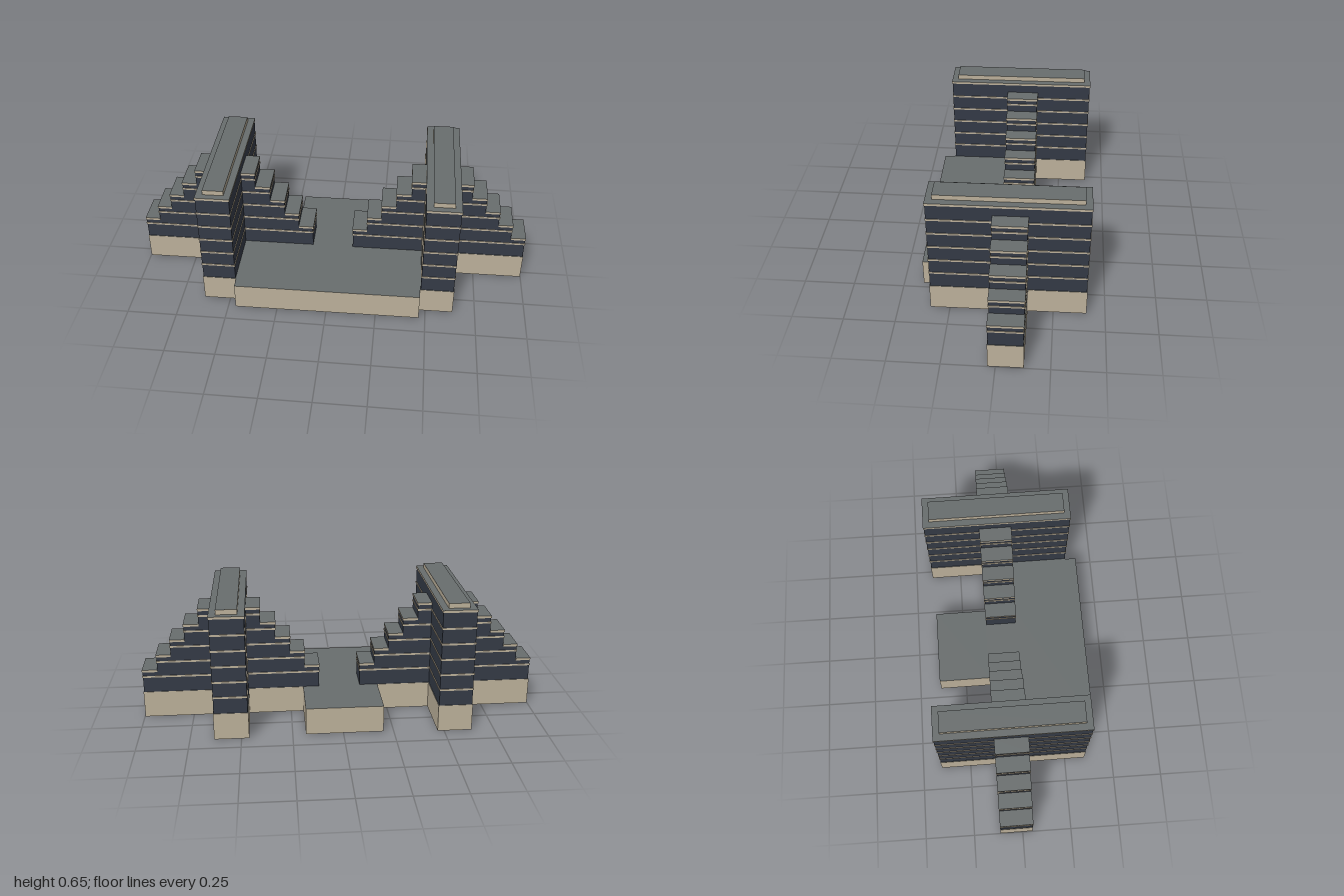
import * as THREE from 'three';

const stone = new THREE.MeshStandardMaterial({ color: 0xbdb19b });
stone.name = 'beige stone';
const glass = new THREE.MeshStandardMaterial({ color: 0x343a46 });
glass.name = 'dark glazing';
const roof = new THREE.MeshStandardMaterial({ color: 0x686d6d });
roof.name = 'grey roofing';

// box faces run +x, -x, +y, -y, +z, -z: stone walls under a grey roof
const roofed = [stone, stone, roof, stone, stone, stone];

// Box given by its limits on each axis
function block(parent, name, [x0, x1], [y0, y1], [z0, z1], material) {
  const mesh = new THREE.Mesh(new THREE.BoxGeometry(x1 - x0, y1 - y0, z1 - z0), material);
  mesh.position.set((x0 + x1) / 2, (y0 + y1) / 2, (z0 + z1) / 2);
  mesh.name = name;
  parent.add(mesh);
}

const BASE = 0.137;        // podium height
const STOREY = 0.0795;     // spacing of floor bands and terraces
const LIP = 0.003;         // overhang of bands and caps
const TOWER = 0.085;       // half width of a tower
const TOWER_Z = [-0.4055, 0.3485];
const WING_Z = [-0.122, 0.043];
const TIERS = [0.448, 0.374, 0.302, 0.229, 0.155]; // half widths of the terraces

const inset = ([a, b], d) => [a + d, b - d];
const bandY = (i) => [0.215 + i * STOREY, 0.224 + i * STOREY];
const capY = (i) => [0.2445 + i * STOREY, 0.2565 + i * STOREY];

function createBuilding(side) {
  const g = new THREE.Group();
  g.name = side > 0 ? 'leftBuilding' : 'rightBuilding';
  g.position.x = 0.55 * side;

  // Tower slab with floor bands, roof cap and penthouse
  const w = [-TOWER, TOWER];
  block(g, 'towerBase', w, [0, BASE], TOWER_Z, roofed);
  block(g, 'towerWalls', inset(w, LIP), [BASE, 0.62], inset(TOWER_Z, LIP), glass);
  for (let i = 0; i < 5; i++) block(g, 'towerFloorBand', w, bandY(i), TOWER_Z, stone);
  block(g, 'towerRoofCap', w, [0.618, 0.63], TOWER_Z, roofed);
  block(g, 'penthouse', [-0.051, 0.051], [0.63, 0.654], inset(TOWER_Z, 0.032), roofed);

  // Base under the outer wing
  const outer = [TOWER * side, TIERS[0] * side].sort((a, b) => a - b);
  block(g, 'wingBase', outer, [0, BASE], WING_Z, roofed);

  // Terraced wings stepping down on both sides of the tower
  TIERS.forEach((half, i) => {
    const bottom = i === 0 ? BASE : capY(i - 1)[0];
    const next = (TIERS[i + 1] ?? TOWER) - LIP;
    block(g, 'wingWalls', [-half + LIP, half - LIP], [bottom, capY(i)[0]], inset(WING_Z, LIP), glass);
    block(g, 'wingFloorBand', [-half, half], bandY(i), WING_Z, stone);
    block(g, 'terraceCap', [next, half], capY(i), WING_Z, roofed);
    block(g, 'terraceCap', [-half, -next], capY(i), WING_Z, roofed);
  });
  return g;
}

export function createModel() {
  const model = new THREE.Group();
  model.name = 'terracedTwinBuildings';

  // Shared podium with a rear extension
  block(model, 'podium', [-0.465, 0.465], [0, BASE], [WING_Z[0], 0.406], roofed);
  block(model, 'podiumRear', [-0.197, 0.187], [0, BASE], [-0.388, WING_Z[0]], roofed);

  model.add(createBuilding(1), createBuilding(-1));

  // The plan sits very slightly turned
  model.rotation.y = 0.0066;
  return model;
}
